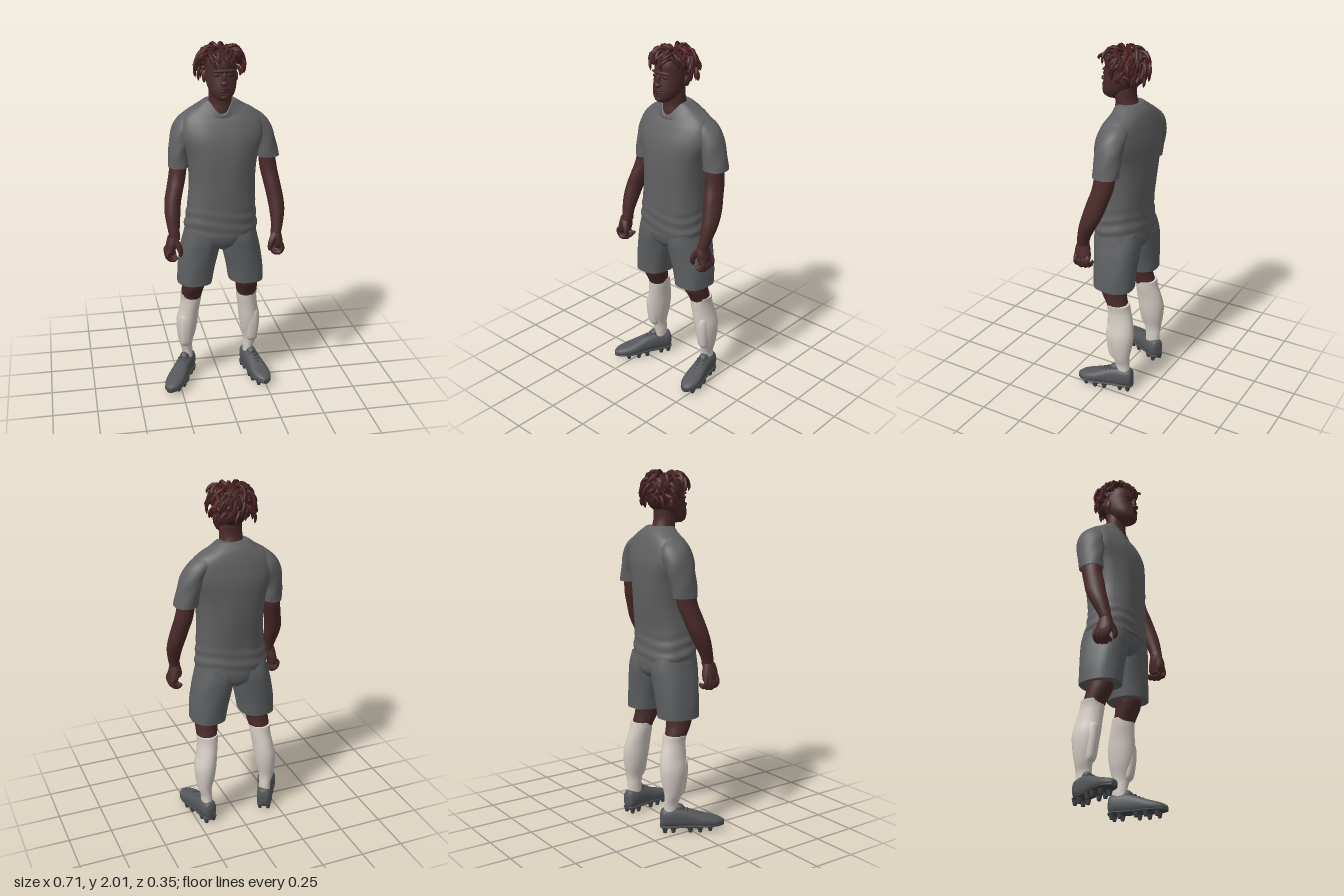
import * as THREE from 'three';

const mat = (name, color) => Object.assign(new THREE.MeshStandardMaterial({ color }), { name });

// Smooth body through horizontal sections [x, y, z, radiusX, radiusZ], listed bottom to top
function loft(sections, { seg = 28, steps = 32, p = 2, warp } = {}) {
  const centre = new THREE.CatmullRomCurve3(sections.map(s => new THREE.Vector3(s[0], s[1], s[2])), false, 'catmullrom');
  const radii = new THREE.CatmullRomCurve3(sections.map(s => new THREE.Vector3(s[3], s[4], 0)), false, 'catmullrom');
  const pos = [], idx = [];
  const se = v => Math.sign(v) * Math.pow(Math.abs(v), 2 / p);
  for (let i = 0; i <= steps; i++) {
    const c = centre.getPoint(i / steps), r = radii.getPoint(i / steps);
    for (let j = 0; j < seg; j++) {
      const a = j / seg * Math.PI * 2;
      const v = new THREE.Vector3(se(Math.cos(a)) * r.x, 0, se(Math.sin(a)) * r.y);
      if (warp) warp(v, a, c.y);
      v.add(c);
      pos.push(v.x, v.y, v.z);
      if (i < steps) {
        const q = i * seg + j, n = i * seg + (j + 1) % seg;
        idx.push(q, q + seg, n, n, q + seg, n + seg);
      }
    }
  }
  // end caps with their own corners, so rims stay crisp
  for (const [row, top] of [[0, false], [steps, true]]) {
    const base = pos.length / 3, c = centre.getPoint(row / steps);
    for (let j = 0; j < seg; j++) pos.push(...pos.slice((row * seg + j) * 3, (row * seg + j) * 3 + 3));
    pos.push(c.x, c.y, c.z);
    for (let j = 0; j < seg; j++) {
      const k = base + (j + 1) % seg;
      idx.push(base + seg, top ? k : base + j, top ? base + j : k);
    }
  }
  const g = new THREE.BufferGeometry();
  g.setAttribute('position', new THREE.Float32BufferAttribute(pos, 3));
  g.setIndex(idx);
  g.computeVertexNormals();
  return g;
}

// Tube with a rounded, tapering tip
function strand(points, r0, r1, n = 8, m = 7) {
  const curve = new THREE.CatmullRomCurve3(points.map(q => new THREE.Vector3(...q)));
  const g = new THREE.TubeGeometry(curve, n, 1, m, false), a = g.attributes.position, v = new THREE.Vector3();
  for (let i = 0; i <= n; i++) {
    const t = i / n, c = curve.getPointAt(t), r = (r0 + (r1 - r0) * t) * Math.sqrt(1 - t ** 8) + 0.0004;
    for (let j = 0; j <= m; j++) {
      const k = i * (m + 1) + j;
      v.fromBufferAttribute(a, k).sub(c).multiplyScalar(r).add(c);
      a.setXYZ(k, v.x, v.y, v.z);
    }
  }
  g.computeVertexNormals();
  return g;
}

export function createModel() {
  const model = new THREE.Group();
  const skin = mat('skin', 0x4a2a2a), dark = mat('dark skin', 0x3a1f20);
  const hairA = mat('hair', 0x422021), hairB = mat('red hair', 0x4c1e20);
  const shirt = mat('shirt grey', 0x616163), shorts = mat('shorts grey', 0x5d5f61);
  const sock = mat('sock white', 0xd4ccc4), boot = mat('boot grey', 0x55575a), sole = mat('sole grey', 0x434548);
  const add = (name, geo, m, parent = model) => {
    const mesh = new THREE.Mesh(geo, m);
    mesh.name = name;
    parent.add(mesh);
    return mesh;
  };
  const ball = (name, m, p, s, parent) => {
    const b = add(name, new THREE.SphereGeometry(1, 18, 12), m, parent);
    b.position.set(...p);
    b.scale.set(...s);
    return b;
  };

  // Shirt body: creases above the hem, fuller right shoulder blade, V-shaped neckline
  add('shirtBody', loft([
    [0, .96, -.008, .205, .148], [0, 1.0, -.008, .205, .149], [.002, 1.06, -.005, .197, .147],
    [.005, 1.13, -.005, .19, .146], [.01, 1.26, -.012, .184, .153], [.01, 1.4, -.018, .2, .155],
    [.01, 1.5, -.027, .232, .146], [.01, 1.58, -.037, .228, .122], [.008, 1.63, -.045, .195, .1],
    [.004, 1.67, -.045, .13, .083], [0, 1.7, -.035, .085, .066],
  ], { seg: 48, steps: 70, p: 2.3, warp(v, a, y) {
    const low = THREE.MathUtils.smoothstep(1.16 - y, 0, .1);
    v.multiplyScalar(1 + low * .014 * Math.sin(y * 95 + 2.2 * Math.sin(a * 2)) + .006 * Math.sin(a * 9 + y * 6));
    if (v.z < 0) v.z *= 1 - .6 * v.x * THREE.MathUtils.smoothstep(y, 1.1, 1.4);
    const vee = THREE.MathUtils.smoothstep(y, 1.6, 1.7) * Math.max(0, Math.sin(a)) ** 6;
    v.y -= .075 * vee;
    v.z += .034 * vee;
  } }), shirt);

  // Sleeves
  const sleeveFold = (v, a, y) => v.multiplyScalar(1 + .018 * Math.sin(a * 4 + y * 45));
  add('rightSleeve', loft([[-.23, 1.33, -.035, .057, .072], [-.226, 1.42, -.045, .056, .08],
    [-.2, 1.52, -.058, .067, .088], [-.17, 1.59, -.06, .064, .078], [-.13, 1.645, -.055, .04, .044]],
  { warp: sleeveFold }), shirt);
  add('leftSleeve', loft([[.272, 1.37, -.04, .067, .074], [.256, 1.45, -.042, .064, .075],
    [.227, 1.53, -.045, .069, .076], [.19, 1.595, -.05, .063, .068], [.14, 1.645, -.05, .04, .04]],
  { warp: sleeveFold }), shirt);

  // Arms and hands
  const arms = { right: [-1, [-.272, -.277, -.278, -.272, -.255, -.237, -.225]],
    left: [1, [.3, .308, .312, .305, .292, .277, .262]] };
  const armRows = [[.95, .092, .028, .035], [1.0, .08, .033, .037], [1.08, .05, .043, .05],
    [1.15, .022, .046, .058], [1.22, 0, .047, .06], [1.3, -.025, .048, .06], [1.42, -.04, .045, .06]];
  for (const [side, [s, xs]] of Object.entries(arms)) {
    add(side + 'Arm', loft(armRows.map((r, i) => [xs[i], ...r]), { seg: 22 }), skin);
    const hand = new THREE.Group();
    hand.name = side + 'Hand';
    hand.position.x = s < 0 ? -.285 : .298;
    model.add(hand);
    add('palm', loft([[s * .012, .862, .085, .02, .036], [s * .014, .885, .087, .028, .049],
      [s * .006, .925, .09, .031, .046], [0, .965, .09, .028, .034]], { seg: 18, steps: 14 }), skin, hand);
    for (let i = 0; i < 4; i++) {
      const z = .048 + i * .024, drop = [.008, 0, -.004, .004][i];
      add('finger', strand([[s * .02, .895, z], [s * .034, .862 + drop, z], [s * .018, .834 + drop, z - .002],
        [-s * .012, .835 + drop, z - .003], [-s * .022, .85 + drop, z - .003]], .0155, .0125, 10), skin, hand);
    }
    add('thumb', strand([[-s * .005, .95, .105], [-s * .028, .915, .125], [-s * .038, .88, .13],
      [-s * .036, .85, .122]], .02, .013), skin, hand);
  }

  // Shorts
  const shortFold = (v, a, y) => v.multiplyScalar(1 + .012 * Math.sin(a * 6 + y * 14));
  add('shortsSeat', loft([[0, .865, -.018, .035, .105], [0, .9, -.016, .14, .128], [0, .95, -.012, .196, .136],
    [0, 1.0, -.01, .19, .132]], { seg: 36, p: 2.4 }), shorts);

  for (const [side, s] of [['right', -1], ['left', 1]]) {
    add(side + 'ShortsLeg', loft([[s * .149, .65, -.018, .1, .116], [s * .139, .74, -.018, .105, .122],
      [s * .118, .85, -.018, .108, .131], [s * .104, .92, -.016, .105, .136], [s * .095, .99, -.012, .098, .128]],
    { seg: 36, p: 2.4, warp: shortFold }), shorts);

    // Knees, socks and shin pads
    add(side + 'Knee', loft([[s * .165, .5, -.055, .05, .055], [s * .163, .55, -.045, .059, .062],
      [s * .157, .61, -.022, .065, .072], [s * .152, .66, -.018, .069, .076], [s * .145, .78, -.018, .075, .085]]), skin);
    add(side + 'Sock', loft([[s * .188, .09, -.092, .034, .046], [s * .187, .16, -.092, .031, .045],
      [s * .196, .22, -.088, .04, .052], [s * .192, .3, -.083, .056, .071], [s * .187, .37, -.079, .062, .08],
      [s * .176, .44, -.072, .058, .077], [s * .166, .51, -.06, .059, .069], [s * .166, .555, -.055, .063, .065]]), sock);
    add(side + 'ShinPad', loft([[s * .2, .21, -.055, .022, .02], [s * .2, .24, -.048, .032, .033],
      [s * .2, .33, -.04, .037, .04], [s * .197, .4, -.038, .036, .038], [s * .192, .43, -.042, .028, .028]],
    { p: 2.5 }), sock);

    // Boots, built lengthwise with the toe towards +z
    const foot = new THREE.Group();
    foot.name = side + 'Boot';
    foot.position.set(s * .19, 0, -.09);
    foot.rotation.y = s < 0 ? -.49 : .2;
    model.add(foot);
    const stretch = s < 0 ? 1.11 : 1;
    const outline = [[-.067, .078, .018, .026], [-.055, .082, .036, .052], [-.02, .083, .044, .056],
      [.03, .083, .044, .058], [.09, .075, .047, .05], [.15, .063, .054, .038], [.2, .055, .052, .03],
      [.24, .05, .039, .022], [.266, .047, .014, .01]].map(([l, ...r]) => [l > 0 ? l * stretch : l, ...r]);
    add('upper', loft(outline.map(([l, h, w, r]) => [0, l, -h, w, r]), { p: 2.4 }).rotateX(Math.PI / 2), boot, foot);
    add('solePlate', loft(outline.map(([l, , w]) => [0, l, -.034, w * 1.02, .009]), { p: 2.6 }).rotateX(Math.PI / 2), sole, foot);
    ball('tongue', boot, [0, .135, .04], [.027, .026, .03], foot).rotation.x = .4;
    for (let i = 0; i < 5; i++) {
      const z = .06 + i * .022, y = .141 - i * .0115;
      add('lace', strand([[-.03, y - .014, z], [0, y, z + .004], [.03, y - .014, z + .008]], .0055, .0055, 8, 6), sole, foot);
    }
    const studs = [[-.024, -.042], [.024, -.042], [-.026, .005], [.026, .005], [-.034, .1], [.034, .1],
      [-.038, .155], [.038, .155], [-.025, .215], [.025, .215]];
    for (const [x, z] of studs) {
      add('stud', new THREE.CylinderGeometry(.017, .01, .03, 10), sole, foot).position.set(x, .015, z);
    }
  }

  // Neck and head
  add('neck', loft([[0, 1.58, -.03, .085, .075], [0, 1.64, -.022, .075, .075], [0, 1.69, -.016, .064, .064],
    [0, 1.74, -.008, .062, .058], [0, 1.81, -.01, .06, .06]]), skin);
  add('head', loft([[0, 1.715, .068, .026, .034], [0, 1.735, .06, .052, .063], [0, 1.77, .042, .072, .083],
    [0, 1.81, .018, .081, .1], [0, 1.86, .003, .085, .105], [0, 1.91, 0, .083, .106],
    [0, 1.95, -.002, .066, .088], [0, 1.972, -.002, .026, .035]], { seg: 36, p: 2.15 }), skin);
  ball('noseTip', skin, [0, 1.812, .12], [.022, .014, .02]);
  ball('noseBridge', skin, [0, 1.838, .112], [.011, .03, .014]);
  ball('brow', skin, [0, 1.874, .094], [.062, .012, .02]);
  ball('chin', skin, [0, 1.738, .108], [.028, .017, .02]);
  ball('upperLip', dark, [0, 1.784, .12], [.027, .007, .011]);
  ball('lowerLip', dark, [0, 1.772, .119], [.024, .008, .011]);
  for (const s of [-1, 1]) {
    ball('eye', dark, [s * .034, 1.852, .099], [.019, .009, .008]);
    ball('ear', skin, [s * .087, 1.825, -.012], [.011, .03, .019]);
  }

  // Hair: scalp cap covered by uneven locks falling outward from the crown
  const hair = new THREE.Group();
  hair.name = 'hair';
  model.add(hair);
  ball('scalp', hairA, [0, 1.905, -.012], [.09, .08, .104], hair);
  ball('nape', hairA, [0, 1.85, -.04], [.079, .07, .068], hair);
  let seed = 7;
  const rnd = () => (seed = (seed * 16807) % 2147483647) / 2147483647;
  const rings = [[.2, 7], [.55, 14], [.9, 20], [1.25, 24], [1.6, 26], [1.95, 22]];
  for (const [phi, count] of rings) {
    for (let i = 0; i < count; i++) {
      const th = (i + rnd() * .8) / count * Math.PI * 2, c = Math.cos(th), s = Math.sin(th);
      if (phi > 1.1 && s > .3 || phi > 1.5 && s > -.1) continue; // keep the face clear
      const sp = Math.sin(phi), y = 1.895 + .075 * Math.cos(phi);
      const reach = (.1 + .042 * rnd()) * (.78 + .22 * sp);
      const fall = (.035 + .045 * rnd()) * (s > 0 ? .8 : 1), bend = (rnd() - .5) * .06;
      const mid = (.085 * sp + reach) / 2 + .008, lift = .02 * Math.cos(phi) * (.5 + rnd() * .7);
      add('lock', strand([[.08 * sp * c, y, .095 * sp * s - .01],
        [mid * c + bend * s * .4, y + lift + .004, mid * 1.05 * s - bend * c * .4],
        [reach * c - bend * s, y - fall * .45, reach * 1.06 * s + bend * c],
        [(reach - .004) * c - bend * s * 1.3, y - fall, (reach - .002) * 1.06 * s + bend * c * 1.3]],
      .0115, .0075, 8, 6), i % 3 ? hairA : hairB, hair);
    }
  }
  return model;
}
